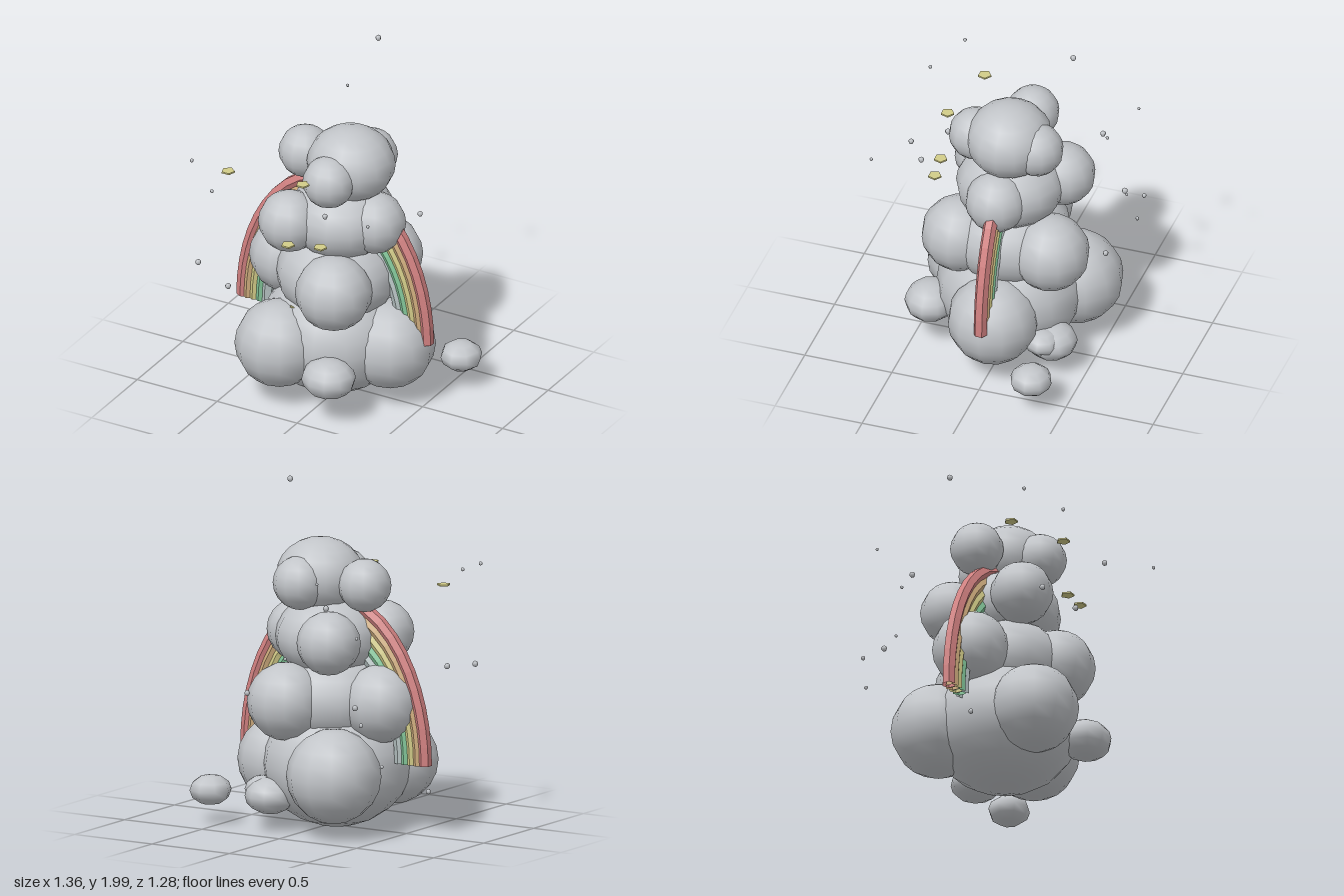
import * as THREE from 'three';

const mat = (name, color, side = THREE.FrontSide) => {
  const m = new THREE.MeshStandardMaterial({ color, side });
  m.name = name;
  return m;
};

// Closed tube along half an ellipse, with flat faces
function archGeometry(radius, stretch, thick) {
  const points = [];
  for (let i = 0; i <= 24; i++) {
    const a = Math.PI * i / 24;
    points.push(new THREE.Vector3(radius * Math.cos(a), radius * stretch * Math.sin(a), 0));
  }
  const tube = new THREE.TubeGeometry(new THREE.CatmullRomCurve3(points), 22, thick, 6, false).toNonIndexed();
  tube.computeVertexNormals();
  return tube;
}

export function createModel() {
  const model = new THREE.Group();
  model.name = 'cloudTower';
  const cloud = mat('cloud grey', 0xc2c5c9);
  const star = mat('star yellow', 0xd2cc88);
  const bands = [
    mat('rainbow red', 0xd08080, THREE.DoubleSide),
    mat('rainbow orange', 0xccaa7c, THREE.DoubleSide),
    mat('rainbow yellow', 0xcfc886, THREE.DoubleSide),
    mat('rainbow green', 0x80c296, THREE.DoubleSide),
    mat('rainbow pale', 0xb4c0c0, THREE.DoubleSide),
  ];

  const add = (parent, name, geometry, material, x, y, z) => {
    const mesh = new THREE.Mesh(geometry, material);
    mesh.name = name;
    mesh.position.set(x, y, z);
    parent.add(mesh);
    return mesh;
  };
  const puff = (parent, name, x, y, z, rx, ry = rx, rz = rx, seg = 10) =>
    add(parent, name, new THREE.SphereGeometry(1, seg, seg - 2), cloud, x, y, z).scale.set(rx, ry, rz);

  // Four cloud tiers: a flattened core ringed by three round puffs
  const tiers = [
    { name: 'baseTier', core: [-0.05, 0.36, 0, 0.41, 0.35, 0.41],
      puffs: [[0.29, 0.345, -0.01, 0.25], [-0.23, 0.35, 0.29, 0.245], [-0.23, 0.35, -0.31, 0.26]] },
    { name: 'lowerTier', core: [-0.03, 0.72, 0, 0.34, 0.27, 0.34],
      puffs: [[0.087, 0.725, 0.25, 0.212], [0.1, 0.725, -0.275, 0.215], [-0.355, 0.72, -0.03, 0.215]] },
    { name: 'upperTier', core: [-0.01, 1.06, -0.01, 0.3, 0.23, 0.3],
      puffs: [[0.2, 1.07, 0, 0.172], [-0.215, 1.067, 0.205, 0.172], [-0.165, 1.07, -0.26, 0.175]] },
    { name: 'topTier', core: [0.042, 1.39, -0.02, 0.245, 0.21, 0.235],
      puffs: [[0.02, 1.36, 0.185, 0.145], [-0.262, 1.368, -0.05, 0.146], [0.07, 1.37, -0.185, 0.148]] },
  ];
  for (const tier of tiers) {
    const group = new THREE.Group();
    group.name = tier.name;
    puff(group, 'core', ...tier.core, 14);
    for (const [x, y, z, r] of tier.puffs) puff(group, 'puff', x, y, z, r, r, r, 12);
    model.add(group);
  }

  // Small flattened wisps around the foot
  puff(model, 'frontWisp', 0.14, 0.28, 0.4, 0.152, 0.11, 0.142);
  puff(model, 'looseWisp', 0.56, 0.195, -0.32, 0.117, 0.084, 0.117, 8);
  puff(model, 'backWisp', 0.18, 0.2, -0.31, 0.14, 0.1, 0.14);
  puff(model, 'smallBackWisp', 0.25, 0.23, -0.28, 0.1, 0.07, 0.1, 8);

  // Tall rainbow arch of nested bands
  const rainbow = new THREE.Group();
  rainbow.name = 'rainbow';
  rainbow.position.set(-0.055, 0.4, -0.015);
  bands.forEach((material, i) =>
    add(rainbow, 'rainbowBand', archGeometry(0.575 - i * 0.038, 1.52, 0.038), material, 0, 0, 0));
  model.add(rainbow);

  // Thin five-sided sparkles
  const sparkle = new THREE.CylinderGeometry(0.038, 0.038, 0.009, 5).rotateY(Math.PI).toNonIndexed();
  sparkle.computeVertexNormals();
  for (const [x, y, z] of [[-0.534, 1.34, 0.32], [-0.1, 1.05, 0.425], [-0.042, 1.41, 0.365],
    [0.085, 1.07, 0.395], [-0.14, 0.585, 0.26]]) add(model, 'sparkle', sparkle, star, x, y, z);

  // Floating droplets: x, y, z, radius
  const drops = [
    [0.01, 1.983, -0.375, 0.017], [-0.33, 1.475, -0.635, 0.009], [-0.125, 1.04, -0.635, 0.009],
    [-0.58, 0.71, -0.58, 0.013], [-0.67, 0.48, -0.51, 0.011], [-0.49, 0.785, -0.5, 0.017],
    [-0.27, 1.305, -0.45, 0.017], [-0.445, 1.15, -0.415, 0.01], [0.14, 0.82, -0.605, 0.016],
    [-0.58, 0.235, 0.095, 0.015], [-0.67, 1.445, 0.48, 0.011], [-0.59, 0.87, 0.55, 0.017],
    [-0.47, 1.37, 0.61, 0.011], [-0.36, 0.82, 0.625, 0.017], [0.175, 1.335, 0.5, 0.016],
    [0.508, 1.415, 0.615, 0.01],
  ];
  const drop = new THREE.SphereGeometry(1, 5, 5).rotateY(Math.PI / 2);
  for (const [x, y, z, r] of drops) add(model, 'droplet', drop, cloud, x, y, z).scale.setScalar(r);

  return model;
}
